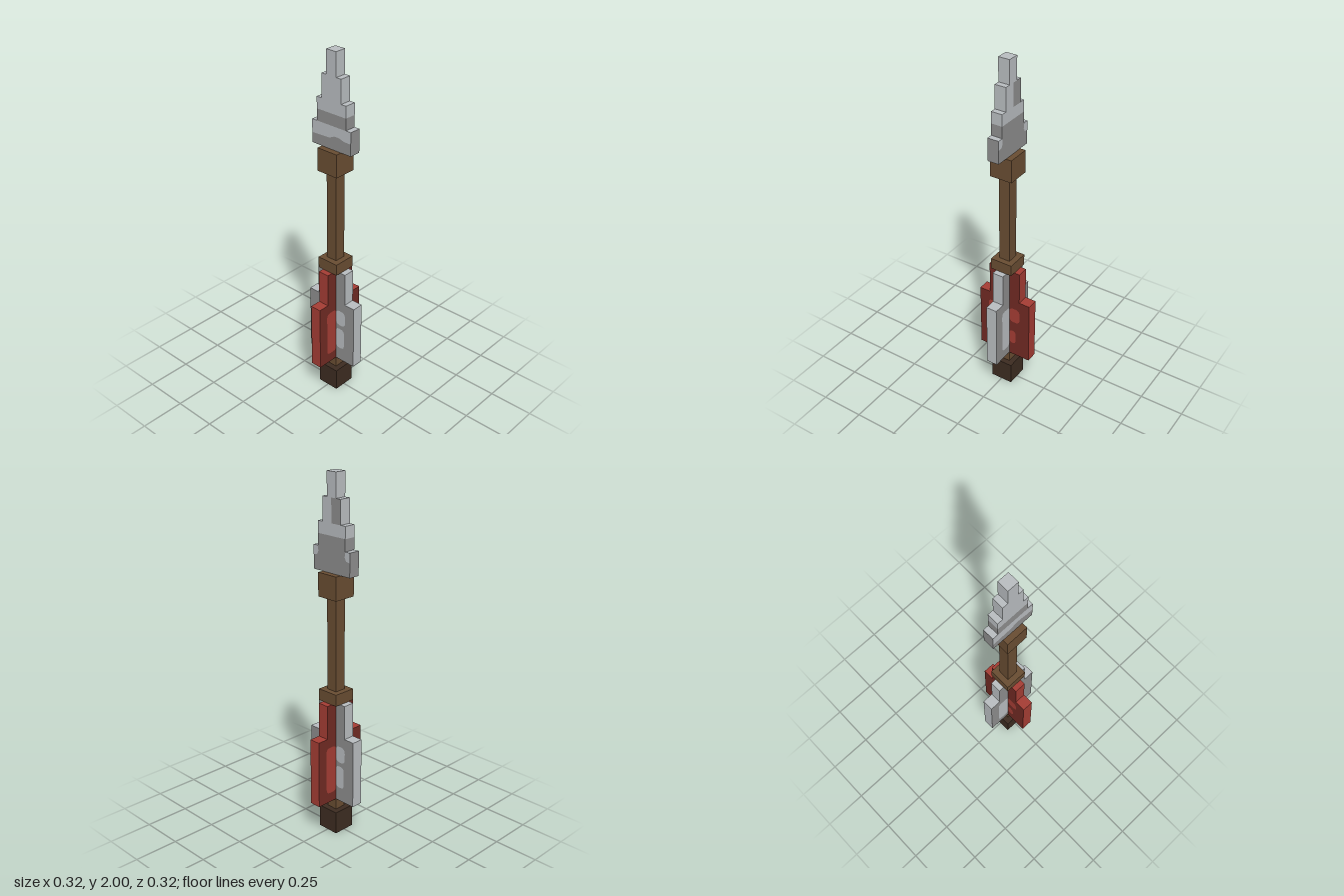
import * as THREE from 'three';

const U = 2 / 31; // one grid cell of the blocky design
const H = U / 2;

const mat = (name, color) => {
  const m = new THREE.MeshStandardMaterial({ color });
  m.name = name;
  return m;
};

export function createModel() {
  const lightGrey = mat('light grey', 0xb9bdc0);
  const darkGrey = mat('dark grey', 0x8d8d8d);
  const red = mat('red', 0xa43d34);
  const darkRed = mat('dark red', 0x702a23);
  const brown = mat('brown wood', 0x694d32);
  const darkBrown = mat('dark wood', 0x3d2c21);

  const model = new THREE.Group();
  model.name = 'spear';

  // Box given by its limits; material may be an array for the six faces
  const box = (parent, name, x0, x1, y0, y1, z, material) => {
    const mesh = new THREE.Mesh(new THREE.BoxGeometry(x1 - x0, y1 - y0, 2 * z), material);
    mesh.position.set((x0 + x1) / 2, (y0 + y1) / 2, 0);
    mesh.name = name;
    parent.add(mesh);
    return mesh;
  };
  // Flat painted patch just off a face; back patches are mirrored to face -z
  const patch = (parent, name, shape, material, back = false) => {
    const mesh = new THREE.Mesh(new THREE.ShapeGeometry(shape, 6), material);
    mesh.position.z = (back ? -1 : 1) * (H + 0.001);
    if (back) mesh.rotation.y = Math.PI;
    mesh.name = name;
    parent.add(mesh);
  };
  const rounded = (x0, x1, y0, y1, r) => {
    const s = new THREE.Shape();
    s.moveTo(x0 + r, y0).lineTo(x1 - r, y0);
    s.quadraticCurveTo(x1, y0, x1, y0 + r).lineTo(x1, y1 - r);
    s.quadraticCurveTo(x1, y1, x1 - r, y1).lineTo(x0 + r, y1);
    s.quadraticCurveTo(x0, y1, x0, y1 - r).lineTo(x0, y0 + r);
    s.quadraticCurveTo(x0, y0, x0 + r, y0);
    return s;
  };
  const polygon = pts => new THREE.Shape(pts.map(p => new THREE.Vector2(...p)));

  // Shaft, collars and pommel
  box(model, 'shaft', -H, H, 2 * U, 23 * U, H, brown);
  box(model, 'pommel', -U, U, 0, 2 * U, U, darkBrown);
  box(model, 'collar', -U, U, 12 * U, 13 * U, U, brown);
  box(model, 'headSocket', -U, U, 21 * U, 23 * U, U, brown);

  // Four stepped fins, alternating grey and red
  for (let i = 0; i < 4; i++) {
    const [edge, face] = i % 2 ? [red, darkRed] : [lightGrey, darkGrey];
    const faces = [edge, edge, edge, edge, face, face];
    const fin = new THREE.Group();
    fin.name = i % 2 ? 'redFin' : 'greyFin';
    box(fin, 'finLower', H, 2.5 * U, 3 * U, 9 * U, H, faces);
    box(fin, 'finUpper', H, 1.5 * U, 9 * U, 12 * U, H, faces);
    patch(fin, 'upperSpot', rounded(H, 0.1, 0.43, 0.525, 0.03), edge);
    patch(fin, 'lowerSpot', rounded(H, i % 2 ? 0.075 : 0.092, 0.275, i % 2 ? 0.365 : 0.405, 0.025), edge);
    patch(fin, 'longSpot', rounded(-0.105, -H, 0.25, 0.525, 0.025), edge, true);
    fin.rotation.y = i * Math.PI / 2;
    model.add(fin);
  }

  // Stepped blade
  const blade = new THREE.Group();
  blade.name = 'blade';
  const d = darkGrey;
  box(blade, 'bladeBase', -2 * U, 2 * U, 23 * U, 25 * U, H, [d, d, lightGrey, d, d, d]);
  box(blade, 'bladeBand', -1.5 * U, 1.5 * U, 25 * U, 26 * U, H, d);
  box(blade, 'bladeLower', -1.5 * U, 1.5 * U, 26 * U, 27 * U, H, lightGrey);
  box(blade, 'bladeMiddle', -U, U, 27 * U, 29 * U, H, lightGrey);
  box(blade, 'bladeTip', -H, H, 29 * U, 31 * U, H, lightGrey);

  // Wavy light stripe on the front of the base
  patch(blade, 'wavyStripe', polygon([
    [-2 * U, 1.54], [-0.01, 1.545], [0.02, 1.56], [0.05, 1.56], [0.09, 1.55],
    [2 * U, 1.55], [2 * U, 25 * U], [-2 * U, 25 * U],
  ]), lightGrey);
  // Back of the blade: a light chip at each end and a dark patch
  for (const s of [-1, 1]) {
    const e = 2 * U * s;
    const pts = [[e, 1.56], [e - 0.025 * s, 1.565], [e - 0.035 * s, 1.585], [e - 0.03 * s, 25 * U], [e, 25 * U]];
    patch(blade, 'edgeChip', polygon(pts), lightGrey, true);
  }
  patch(blade, 'darkPatch', polygon([[0, 27 * U], [U, 27 * U], [U, 29 * U], [0, 29 * U]]), darkGrey, true);
  model.add(blade);

  return model;
}
